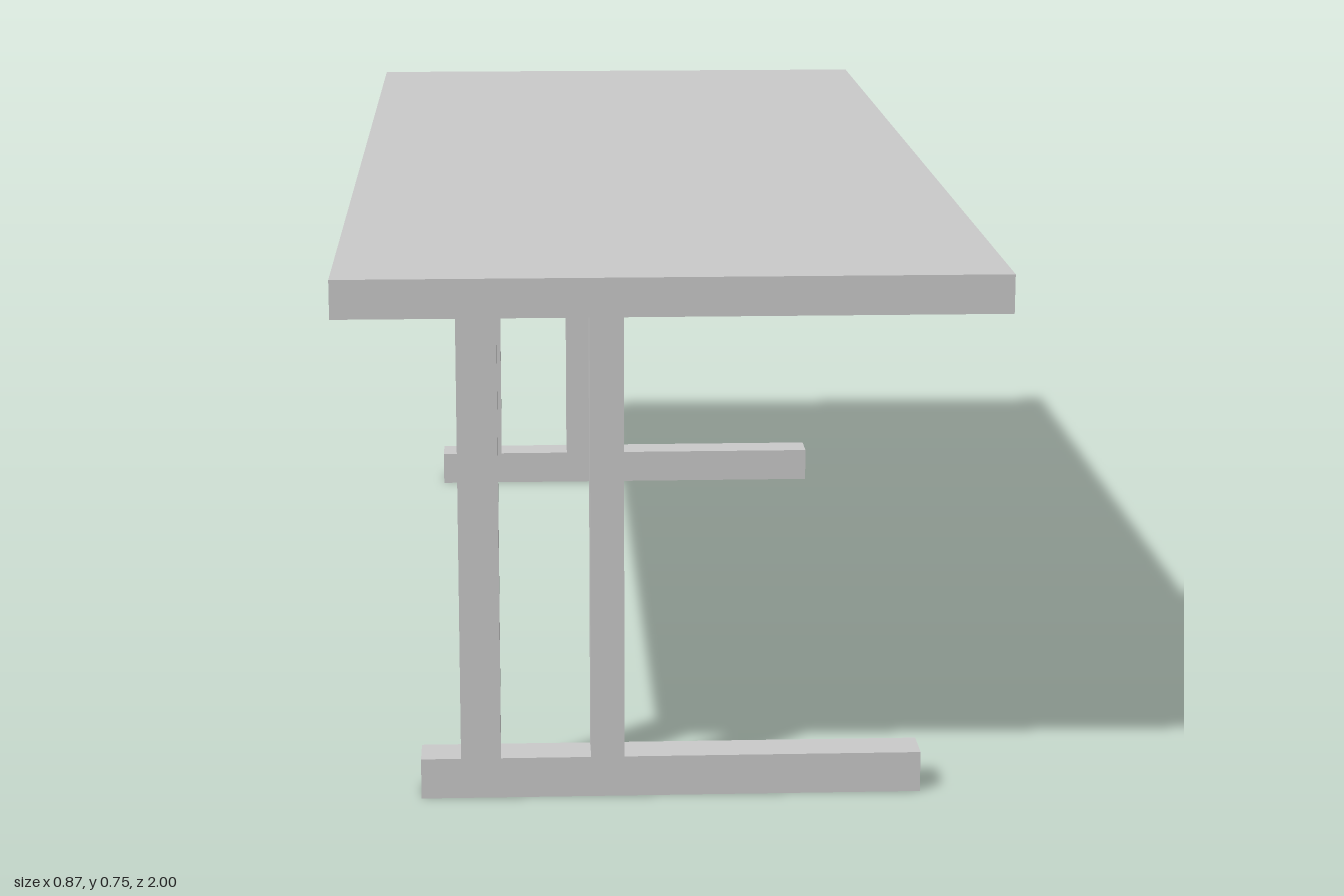
import * as THREE from 'three';

const material = new THREE.MeshStandardMaterial({ color: 0xcccccc, flatShading: true });

// Box given by its extents on each axis
function block(name, [x0, x1], [y0, y1], [z0, z1]) {
  const mesh = new THREE.Mesh(new THREE.BoxGeometry(x1 - x0, y1 - y0, z1 - z0), material);
  mesh.position.set((x0 + x1) / 2, (y0 + y1) / 2, (z0 + z1) / 2);
  mesh.name = name;
  return mesh;
}

// One end support: a floor bar with two uprights set towards the -x side
function support(name, z) {
  const group = new THREE.Group();
  const depth = [-0.029, 0.029];
  group.add(
    block('foot', [-0.332, 0.346], [0, 0.056], depth),
    block('outerPost', [-0.278, -0.224], [0.056, 0.695], depth),
    block('innerPost', [-0.102, -0.057], [0.056, 0.695], depth)
  );
  group.name = name;
  group.position.z = z;
  return group;
}

export function createModel() {
  const table = new THREE.Group();
  table.name = 'table';
  table.add(
    block('tabletop', [-0.433, 0.433], [0.695, 0.746], [-1, 1]),
    support('frontSupport', 0.824),
    support('backSupport', -0.824)
  );
  return table;
}
